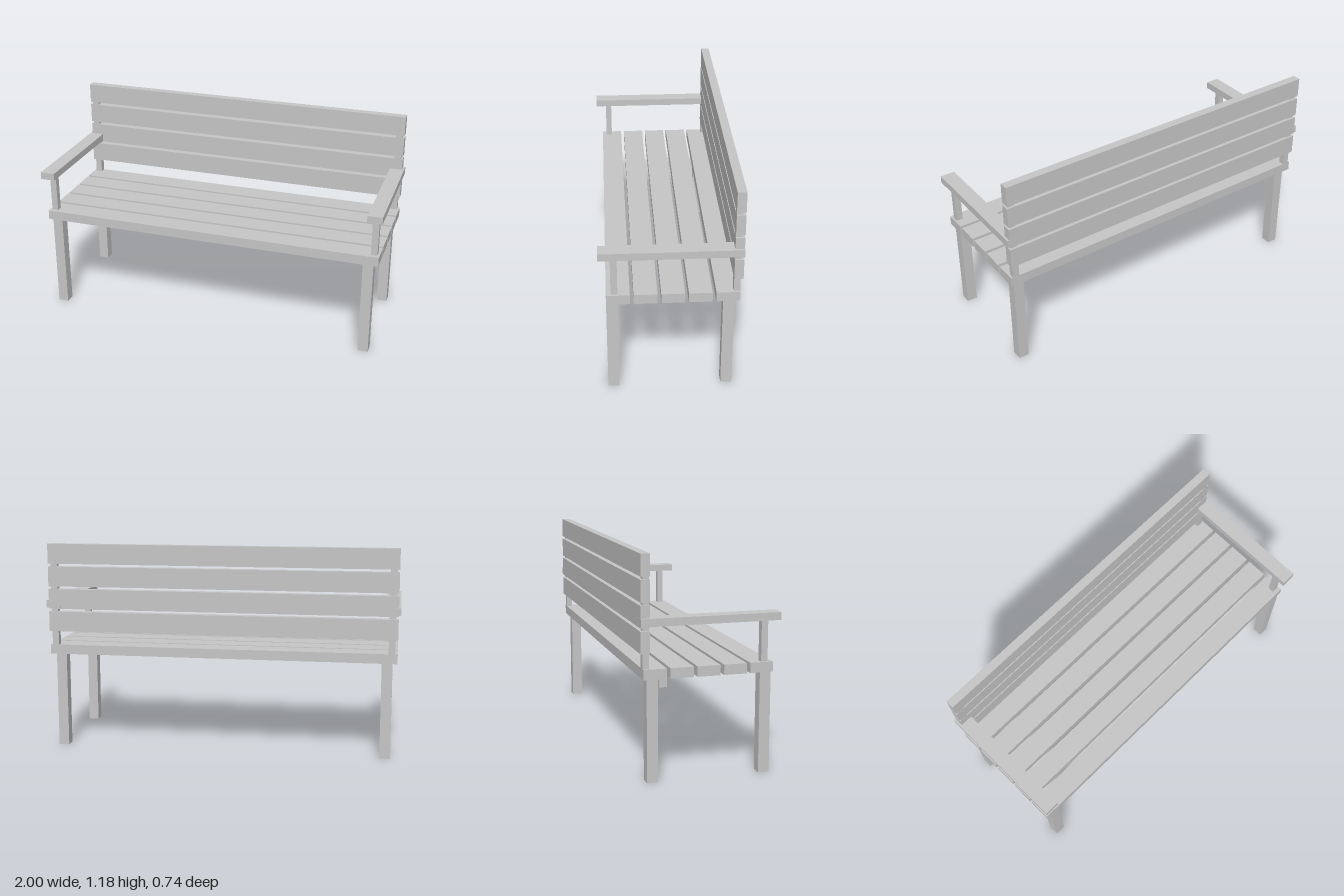
import * as THREE from 'three';

export function createModel() {
  const bench = new THREE.Group();
  bench.name = 'bench';
  const lightGrey = new THREE.MeshStandardMaterial({ color: 0xc6c6c6 });
  lightGrey.name = 'lightGrey';

  // Box given by its lower and upper limit on each axis
  function beam(name, [x0, x1], [y0, y1], [z0, z1]) {
    const mesh = new THREE.Mesh(new THREE.BoxGeometry(x1 - x0, y1 - y0, z1 - z0), lightGrey);
    mesh.position.set((x0 + x1) / 2, (y0 + y1) / 2, (z0 + z1) / 2);
    mesh.name = name;
    bench.add(mesh);
  }

  const slatX = [-0.988, 0.987];
  const seatBottom = 0.546, seatTop = 0.6;
  const armBottom = 0.817, armTop = 0.858;

  // Five seat slats, front to back
  for (let i = 0; i < 5; i++) {
    const z = 0.334 - i * 0.142;
    beam('seatSlat', slatX, [seatBottom, seatTop], [z - 0.123, z]);
  }

  // Four backrest slats, bottom to top
  for (let i = 0; i < 4; i++) {
    const y = 0.68 + i * 0.129;
    beam('backSlat', slatX, [y, y + 0.113], [-0.37, -0.322]);
  }

  // Legs, posts and armrest on each side
  for (const [side, s] of [['left', 1], ['right', -1]]) {
    const span = (a, b) => (s > 0 ? [a, b] : [-b, -a]);
    const legX = span(0.902, 0.961), postX = span(0.938, 0.975);
    beam(side + 'FrontLeg', legX, [0, seatBottom], [0.274, 0.334]);
    beam(side + 'BackLeg', legX, [0, seatBottom], [-0.332, -0.272]);
    beam(side + 'ArmPost', postX, [seatTop, armBottom], [0.274, 0.309]);
    beam(side + 'BackPost', postX, [seatTop, 1.15], [-0.357, -0.323]);
    beam(side + 'Armrest', span(0.917, 1), [armBottom, armTop], [-0.371, 0.371]);
  }
  return bench;
}
